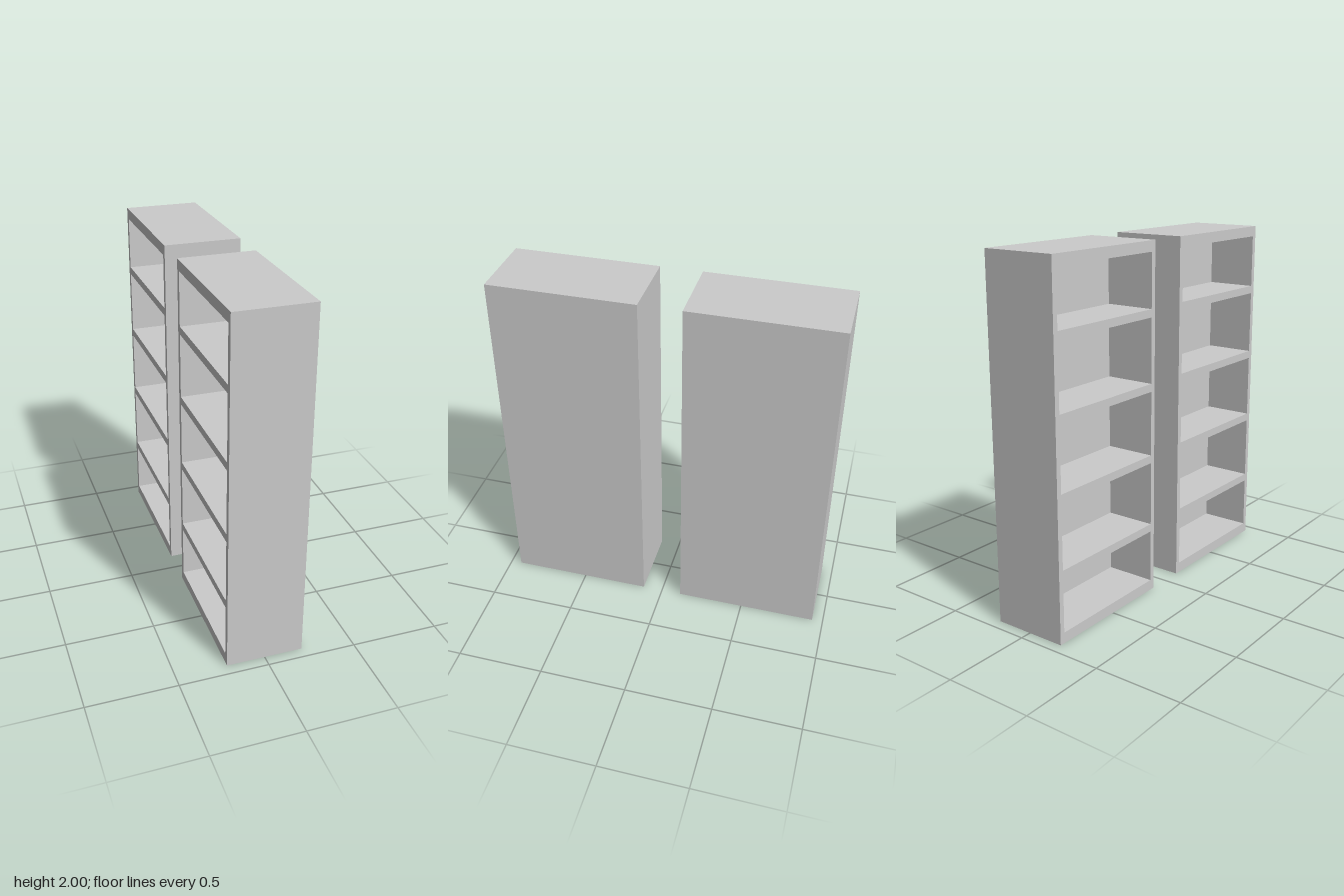
import * as THREE from 'three';

const W = 0.82, H = 2, D = 0.43;      // width along z, height, depth along x
const SIDE = 0.03, CAP = 0.06;        // side panel and top/bottom thickness
const SHELF = 0.045, BAY_DEPTH = 0.29;
const SHELF_CENTRES = [0.385, 0.795, 1.205, 1.615];

const material = new THREE.MeshStandardMaterial({ color: 0xcccccc, flatShading: true });

function rect(path, x0, y0, x1, y1) {
  path.moveTo(x0, y0);
  path.lineTo(x1, y0);
  path.lineTo(x1, y1);
  path.lineTo(x0, y1);
  path.closePath();
  return path;
}

function createBookcase() {
  const bookcase = new THREE.Group();

  // Frame and shelves: one upright slab with five open bays
  const shape = rect(new THREE.Shape(), -W / 2, 0, W / 2, H);
  const floors = [CAP, ...SHELF_CENTRES.map((y) => y + SHELF / 2)];
  const ceilings = [...SHELF_CENTRES.map((y) => y - SHELF / 2), H - CAP];
  floors.forEach((y, i) => {
    shape.holes.push(rect(new THREE.Path(), -W / 2 + SIDE, y, W / 2 - SIDE, ceilings[i]));
  });
  const frameGeometry = new THREE.ExtrudeGeometry(shape, { depth: BAY_DEPTH, bevelEnabled: false });
  frameGeometry.rotateY(-Math.PI / 2);   // the bays open towards -x
  const frame = new THREE.Mesh(frameGeometry, material);
  frame.name = 'shelfFrame';
  frame.position.x = -D / 2 + BAY_DEPTH;

  // Solid back closing the bays
  const backDepth = D - BAY_DEPTH;
  const back = new THREE.Mesh(new THREE.BoxGeometry(backDepth, H, W), material);
  back.name = 'backPanel';
  back.position.set(D / 2 - backDepth / 2, H / 2, 0);

  bookcase.add(frame, back);
  return bookcase;
}

export function createModel() {
  const model = new THREE.Group();
  model.name = 'bookcasePair';
  // Two identical bookcases in a row with a gap between them
  [['frontBookcase', 1], ['rearBookcase', -1]].forEach(([name, side]) => {
    const bookcase = createBookcase();
    bookcase.name = name;
    bookcase.position.z = side * 0.527;
    model.add(bookcase);
  });
  return model;
}
